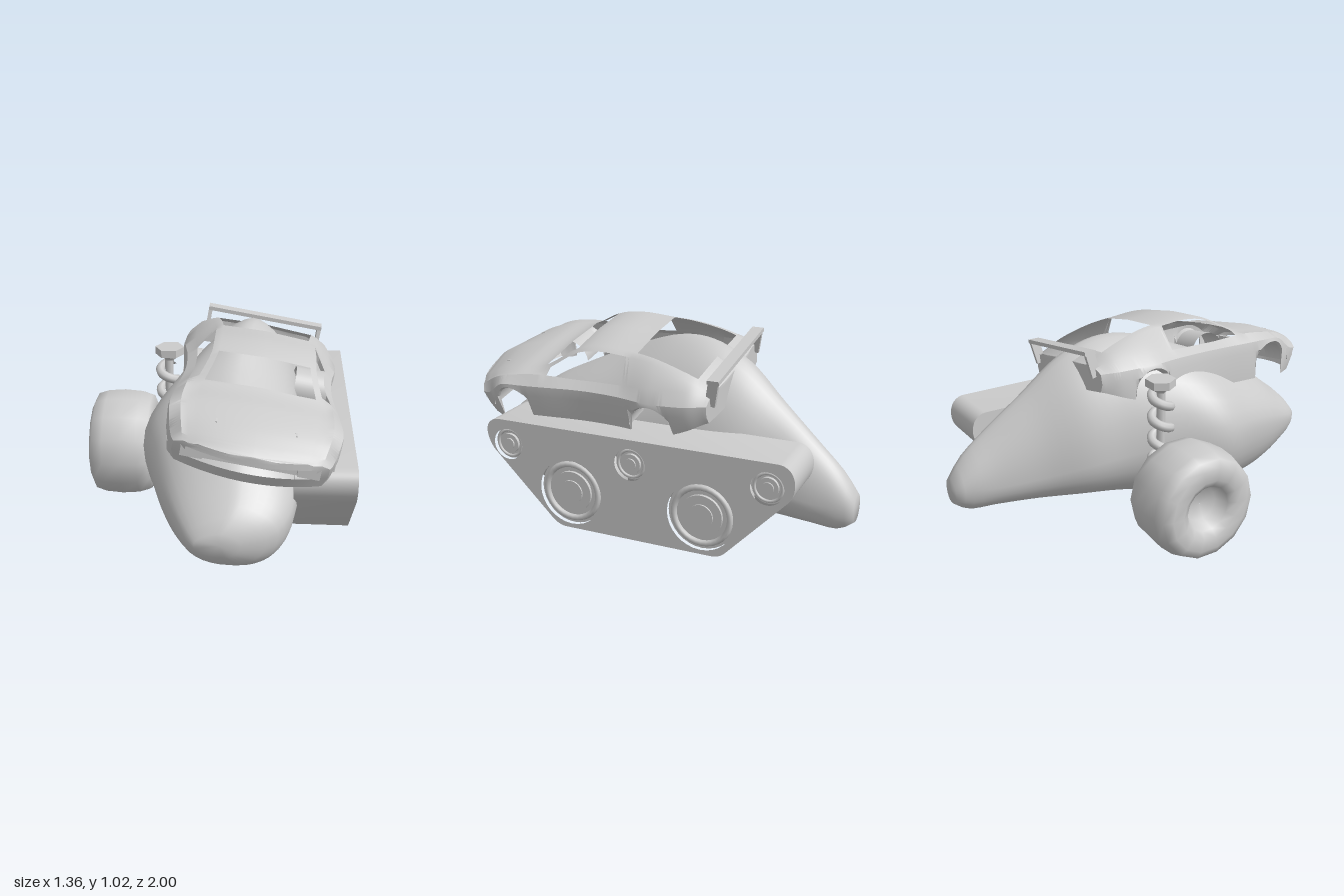
import * as THREE from 'three';
import { mergeVertices, toCreasedNormals } from 'three/addons/utils/BufferGeometryUtils.js';

const grey = new THREE.MeshStandardMaterial({ color: 0xcccccc });
const shell = new THREE.MeshStandardMaterial({ color: 0xcccccc, side: THREE.DoubleSide });

function add(parent, name, geometry, x = 0, y = 0, z = 0, material = grey) {
  const mesh = new THREE.Mesh(geometry, material);
  mesh.name = name;
  mesh.position.set(x, y, z);
  parent.add(mesh);
  return mesh;
}

// Smooth interpolation through rows of [position, value, value...], ascending
function sample(keys, t, k) {
  const n = keys.length - 1;
  let i = 0;
  while (i < n - 1 && t > keys[i + 1][0]) i++;
  const slope = (a, b) => (keys[b][k] - keys[a][k]) / (keys[b][0] - keys[a][0]);
  const h = keys[i + 1][0] - keys[i][0];
  const u = THREE.MathUtils.clamp((t - keys[i][0]) / h, 0, 1), v = 1 - u;
  const m0 = slope(Math.max(i - 1, 0), i + 1) * h, m1 = slope(i, Math.min(i + 2, n)) * h;
  return keys[i][k] * (1 + 2 * u) * v * v + m0 * u * v * v + keys[i + 1][k] * (3 - 2 * u) * u * u - m1 * u * u * v;
}

// Surface over a grid of points, leaving out the cells that skip() picks
function grid(ni, nj, point, skip = () => false) {
  const positions = [], index = [];
  for (let i = 0; i <= ni; i++) for (let j = 0; j <= nj; j++) positions.push(...point(i, j));
  for (let i = 0; i < ni; i++) for (let j = 0; j < nj; j++) {
    if (skip(i, j)) continue;
    const a = i * (nj + 1) + j, c = a + nj + 1;
    index.push(a, a + 1, c + 1, a, c + 1, c);
  }
  const g = new THREE.BufferGeometry();
  g.setAttribute('position', new THREE.Float32BufferAttribute(positions, 3));
  g.setIndex(index);
  const merged = mergeVertices(g, 1e-4);
  merged.computeVertexNormals();
  return merged;
}

const alongX = (r, length, sides) => new THREE.CylinderGeometry(r, r, length, sides).rotateZ(Math.PI / 2);

// Boulder-like hull: z, left x, right x, bottom, top, height of widest point
const HULL = [
  [-1, 0.21, 0.34, 0.18, 0.32, 0.25], [-0.93, 0.17, 0.37, 0.135, 0.42, 0.27], [-0.8, 0.11, 0.39, 0.14, 0.54, 0.28],
  [-0.6, 0.01, 0.40, 0.145, 0.71, 0.32], [-0.4, -0.11, 0.43, 0.14, 0.88, 0.38], [-0.2, -0.18, 0.44, 0.12, 0.96, 0.42],
  [0, -0.26, 0.44, 0.09, 0.95, 0.45], [0.27, -0.36, 0.44, 0.06, 0.85, 0.46], [0.5, -0.30, 0.43, 0.045, 0.75, 0.44],
  [0.7, -0.23, 0.41, 0.07, 0.65, 0.40], [0.85, -0.16, 0.37, 0.13, 0.53, 0.36], [0.95, -0.1, 0.29, 0.19, 0.45, 0.33],
  [1, -0.05, 0.16, 0.26, 0.38, 0.32],
];
function hullGeometry() {
  const n = 50, sides = 36;
  return grid(n + 2, sides, (i, j) => {
    const z = -1 + 2 * THREE.MathUtils.clamp((i - 1) / n, 0, 1);
    const [xl, xr, yb, yt, yw] = [1, 2, 3, 4, 5].map((k) => sample(HULL, z, k));
    const cap = i === 0 || i === n + 2 ? 0 : 1;
    const t = (j % sides) / sides * Math.PI * 2, c = Math.cos(t), s = Math.sin(t);
    const cx = xl + (xr - xl) * 0.55;
    const x = Math.sign(c) * Math.abs(c) ** (s > 0 ? 1.25 : 0.8) * (c > 0 ? xr - cx : cx - xl);
    return [cx + x * cap, yw + s * (s > 0 ? yt - yw : yw - yb) * cap, z];
  });
}

// Car shell in its own frame: z, half width, deck height, roof height, sill
const CAR = [
  [-0.37, 0.35, 0.06, 0.075, -0.06], [-0.25, 0.385, 0.085, 0.13, -0.10], [-0.06, 0.4, 0.085, 0.185, -0.16],
  [0.1, 0.375, 0.07, 0.205, -0.17], [0.25, 0.365, 0.065, 0.213, -0.17], [0.37, 0.37, 0.065, 0.19, -0.17],
  [0.55, 0.39, 0.075, 0.095, -0.17], [0.7, 0.4, 0.06, 0.075, -0.17], [0.85, 0.385, 0.025, 0.04, -0.18],
  [0.95, 0.365, -0.015, 0, -0.18], [0.99, 0.35, -0.04, -0.025, -0.175],
];
const ARCHES = [-0.06, 0.7];
const ROWS = 7;
function carPoint(z, j, u = 1) {
  const [w, deck, roof, base] = [1, 2, 3, 4].map((k) => sample(CAR, z, k));
  let sill = base;
  for (const a of ARCHES) if (Math.abs(z - a) < 0.11) sill = Math.max(sill, -0.11 + Math.sqrt(0.0121 - (z - a) ** 2));
  const nose = THREE.MathUtils.smoothstep(z, 0.7, 0.99);
  const cabin = THREE.MathUtils.clamp((roof - deck) / 0.13, 0, 1);
  const edge = THREE.MathUtils.lerp(w * 0.8, 0.25, cabin);
  const low = Math.max(-0.02 - 0.1 * nose, sill + 0.012);
  const [x, y] = [
    [w * 0.95, sill], [w, low], [w * 0.99, Math.max(low + 0.015, 0.03 - 0.09 * nose)], [w * 0.87, deck],
    [edge, roof - 0.018], [edge * 0.87, roof - 0.004], [0, roof + 0.006],
  ][j];
  const bend = 0.1 * nose + 0.03 * THREE.MathUtils.smoothstep(-z, 0.2, 0.37) * -1;
  const under = nose * 0.5 * Math.max(0, -0.06 - y);
  return [x * u, y, z - bend * (x * u / w) ** 2 - under];
}
function buildCar() {
  const car = new THREE.Group();
  car.name = 'car';
  const n = 84, z0 = -0.37, z1 = 0.99, last = 2 * (ROWS - 1);
  const within = (z, a, b) => z > a && z < b;
  // Body with open windscreen, side windows and rear window
  const body = grid(n, last, (i, j) => {
    const z = z0 + (z1 - z0) * i / n;
    return j < ROWS ? carPoint(z, j) : carPoint(z, last - j, -1);
  }, (i, j) => {
    const z = z0 + (z1 - z0) * (i + 0.5) / n, row = Math.min(j, last - 1 - j);
    return (row === 3 && within(z, 0.1, 0.5)) || (row === 5 && (within(z, 0.375, 0.54) || within(z, -0.28, 0.05)));
  });
  add(car, 'carBody', toCreasedNormals(body, 0.6), 0, 0, 0, shell);
  // Nose with an open mouth, and tail panel
  const cols = 24;
  const nose = grid(ROWS - 1, cols, (i, j) => carPoint(z1, i, -1 + 2 * j / cols), (i, j) => i === 1 && j > 1 && j < cols - 2);
  add(car, 'nose', toCreasedNormals(nose, 0.6), 0, 0, 0, shell);
  add(car, 'tailPanel', toCreasedNormals(grid(ROWS - 1, cols, (i, j) => carPoint(z0, i, 1 - 2 * j / cols)), 0.6), 0, 0, 0, shell);
  add(car, 'grille', new THREE.BoxGeometry(0.56, 0.08, 0.02), 0, -0.09, 0.86);
  // Wheel arch liners, headlights and hood vents
  for (const side of [-1, 1]) {
    for (const z of ARCHES) {
      const liner = new THREE.CylinderGeometry(0.11, 0.11, 0.18, 24, 1, true, 0, Math.PI).rotateZ(Math.PI / 2);
      add(car, 'archLiner', liner, side * 0.29, -0.11, z, shell);
    }
    add(car, 'headlight', new THREE.BoxGeometry(0.1, 0.05, 0.03), side * 0.26, -0.09, 0.895);
    add(car, 'hoodVent', new THREE.BoxGeometry(0.008, 0.012, 0.2), side * 0.17, 0.055, 0.74).rotation.set(0.2, side * 0.08, 0);
    add(car, 'spoilerFin', new THREE.BoxGeometry(0.02, 0.13, 0.05), side * 0.3, 0.08, -0.355).rotation.x = -0.2;
  }
  add(car, 'spoilerWing', new THREE.BoxGeometry(0.62, 0.02, 0.06), 0, 0.138, -0.365);
  car.position.set(0.21, 0.78, 0);
  car.rotation.z = -0.176;
  return car;
}

function buildTrack() {
  const track = new THREE.Group();
  track.name = 'track';
  const s = new THREE.Shape();
  s.moveTo(-0.72, 0.58);
  s.lineTo(0.74, 0.58);
  s.bezierCurveTo(0.82, 0.57, 0.83, 0.47, 0.79, 0.41);
  s.lineTo(0.49, 0.095);
  s.quadraticCurveTo(0.46, 0.065, 0.42, 0.065);
  s.lineTo(-0.36, 0.065);
  s.quadraticCurveTo(-0.4, 0.07, -0.43, 0.1);
  s.lineTo(-0.75, 0.42);
  s.bezierCurveTo(-0.8, 0.49, -0.8, 0.57, -0.72, 0.58);
  const wheels = [[0.32, 0.255, 0.168], [-0.365, 0.255, 0.168], [0.665, 0.455, 0.08], [-0.005, 0.455, 0.08], [-0.685, 0.455, 0.08]];
  for (const [z, y, r] of wheels) {
    s.holes.push(new THREE.Path().absarc(-z, y, r, 0, Math.PI * 2, true));
    // Stepped wheel: recessed disc, raised ring and hub
    add(track, 'rollerDisc', alongX(r + 0.002, 0.25, 32), 0.53, y, z);
    add(track, 'rollerRing', new THREE.TorusGeometry(r * 0.84, r * 0.09, 8, 32).rotateY(Math.PI / 2), 0.66, y, z);
    add(track, 'rollerPlate', alongX(r * 0.62, 0.03, 32), 0.655, y, z);
    add(track, 'rollerHub', alongX(r * 0.36, 0.03, 24), 0.663, y, z);
  }
  const g = new THREE.ExtrudeGeometry(s, { depth: 0.29, bevelEnabled: false, curveSegments: 16 }).rotateY(Math.PI / 2);
  add(track, 'trackBelt', toCreasedNormals(g, 0.5), 0.39, 0, 0);
  return track;
}

function buildWheel() {
  const wheel = new THREE.Group();
  wheel.name = 'wheelAssembly';
  // Fat tyre with a dished hub on both faces
  const half = [[0.001, 0.07], [0.09, 0.075], [0.12, 0.14], [0.16, 0.166], [0.22, 0.165], [0.262, 0.145], [0.28, 0.09]];
  const profile = [...half.map(([r, a]) => [r, -a]), [0.287, 0], ...half.map(([r, a]) => [r, a]).reverse()];
  const tyre = new THREE.LatheGeometry(profile.map(([r, a]) => new THREE.Vector2(r, a)), 14).rotateZ(Math.PI / 2);
  add(wheel, 'tyre', tyre, -0.51, 0.288, -0.065);
  // Axle and clevis
  add(wheel, 'axle', toCreasedNormals(alongX(0.032, 0.4, 6), 0.5), -0.3, 0.288, -0.065);
  add(wheel, 'axleBlock', new THREE.BoxGeometry(0.05, 0.09, 0.11), -0.315, 0.288, -0.065);
  // Coil spring around a damper rod
  const coil = [];
  const turns = 4, steps = 64;
  for (let i = 0; i <= steps; i++) {
    const t = i / steps, a = t * turns * Math.PI * 2;
    coil.push(new THREE.Vector3(-0.265 + 0.047 * Math.cos(a), 0.31 + 0.46 * t, -0.08 + 0.047 * Math.sin(a)));
  }
  add(wheel, 'spring', new THREE.TubeGeometry(new THREE.CatmullRomCurve3(coil), 128, 0.024, 8));
  add(wheel, 'damperRod', new THREE.CylinderGeometry(0.022, 0.022, 0.5, 8), -0.265, 0.55, -0.08);
  // Hexagonal top mount
  const hex = (top, bottom, h) => toCreasedNormals(new THREE.CylinderGeometry(top, bottom, h, 6).rotateY(Math.PI / 6), 0.5);
  add(wheel, 'springMount', hex(0.076, 0.076, 0.04), -0.26, 0.82, -0.08);
  add(wheel, 'springCollar', hex(0.05, 0.03, 0.03), -0.26, 0.787, -0.08);
  return wheel;
}

export function createModel() {
  const model = new THREE.Group();
  add(model, 'hull', hullGeometry());
  model.add(buildCar(), buildTrack(), buildWheel());
  return model;
}
